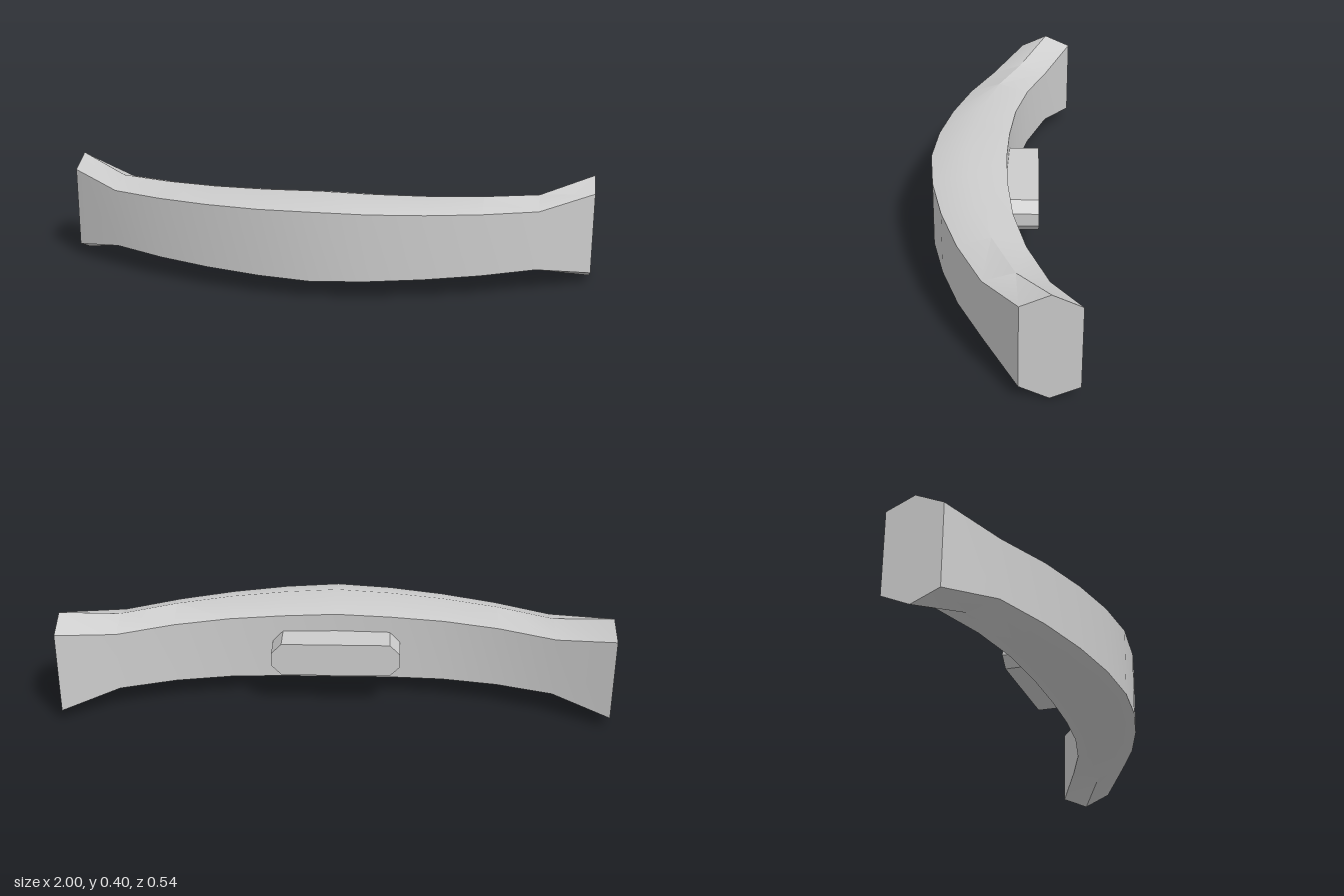
import * as THREE from 'three';
import { toCreasedNormals } from 'three/addons/utils/BufferGeometryUtils.js';

const MID_Y = 0.198;

// Half of the bar: [x, front z, back z, face half height, ridge half height]
const HALF = [
  [0, 0.268, -0.014, 0.131, 0.170],
  [0.2, 0.25, -0.022, 0.126, 0.1635],
  [0.4, 0.207, -0.043, 0.121, 0.157],
  [0.6, 0.143, -0.09, 0.116, 0.1505],
  [0.8, 0.054, -0.167, 0.111, 0.144],
  [1, -0.067, -0.268, 0.153, 0.198],
];

// Curved bar lofted through six-sided cross-sections
function barGeometry() {
  const mirrored = HALF.slice(1).reverse().map(([x, ...rest]) => [-x, ...rest]);
  const stations = [...mirrored, ...HALF];
  const positions = [];
  const index = [];
  for (const [x, front, back, face, ridge] of stations) {
    const mid = (front + back) / 2;
    const section = [[front, face], [mid, ridge], [back, face], [back, -face], [mid, -ridge], [front, -face]];
    for (const [z, y] of section) positions.push(x, MID_Y + y, z);
  }
  const last = stations.length - 1;
  for (let i = 0; i < last; i++) {
    for (let j = 0; j < 6; j++) {
      const k = (j + 1) % 6;
      const a = i * 6 + j, b = i * 6 + k;
      index.push(a, a + 6, b, b, a + 6, b + 6);
    }
  }
  // End caps
  for (let j = 1; j < 5; j++) {
    index.push(0, j, j + 1);
    index.push(last * 6, last * 6 + j + 1, last * 6 + j);
  }
  const geometry = new THREE.BufferGeometry();
  geometry.setAttribute('position', new THREE.Float32BufferAttribute(positions, 3));
  geometry.setIndex(index);
  return toCreasedNormals(geometry, 0.6);
}

// Mounting block with chamfered corners, extruded out of the back of the bar
function mountGeometry() {
  const corners = [
    [0.238, -0.025], [0.238, 0.025], [0.2, 0.063], [-0.2, 0.063],
    [-0.238, 0.025], [-0.238, -0.025], [-0.2, -0.063], [0.2, -0.063],
  ];
  const shape = new THREE.Shape(corners.map(([x, y]) => new THREE.Vector2(x, y)));
  const geometry = new THREE.ExtrudeGeometry(shape, { depth: 0.155, bevelEnabled: false });
  return geometry.translate(0, MID_Y, -0.135);
}

export function createModel() {
  const group = new THREE.Group();
  group.name = 'bumper';
  const grey = new THREE.MeshStandardMaterial({ color: 0xcccccc });
  grey.name = 'light grey';

  const bar = new THREE.Mesh(barGeometry(), grey);
  bar.name = 'curvedBar';
  const mount = new THREE.Mesh(mountGeometry(), grey);
  mount.name = 'rearMount';
  group.add(bar, mount);
  return group;
}
